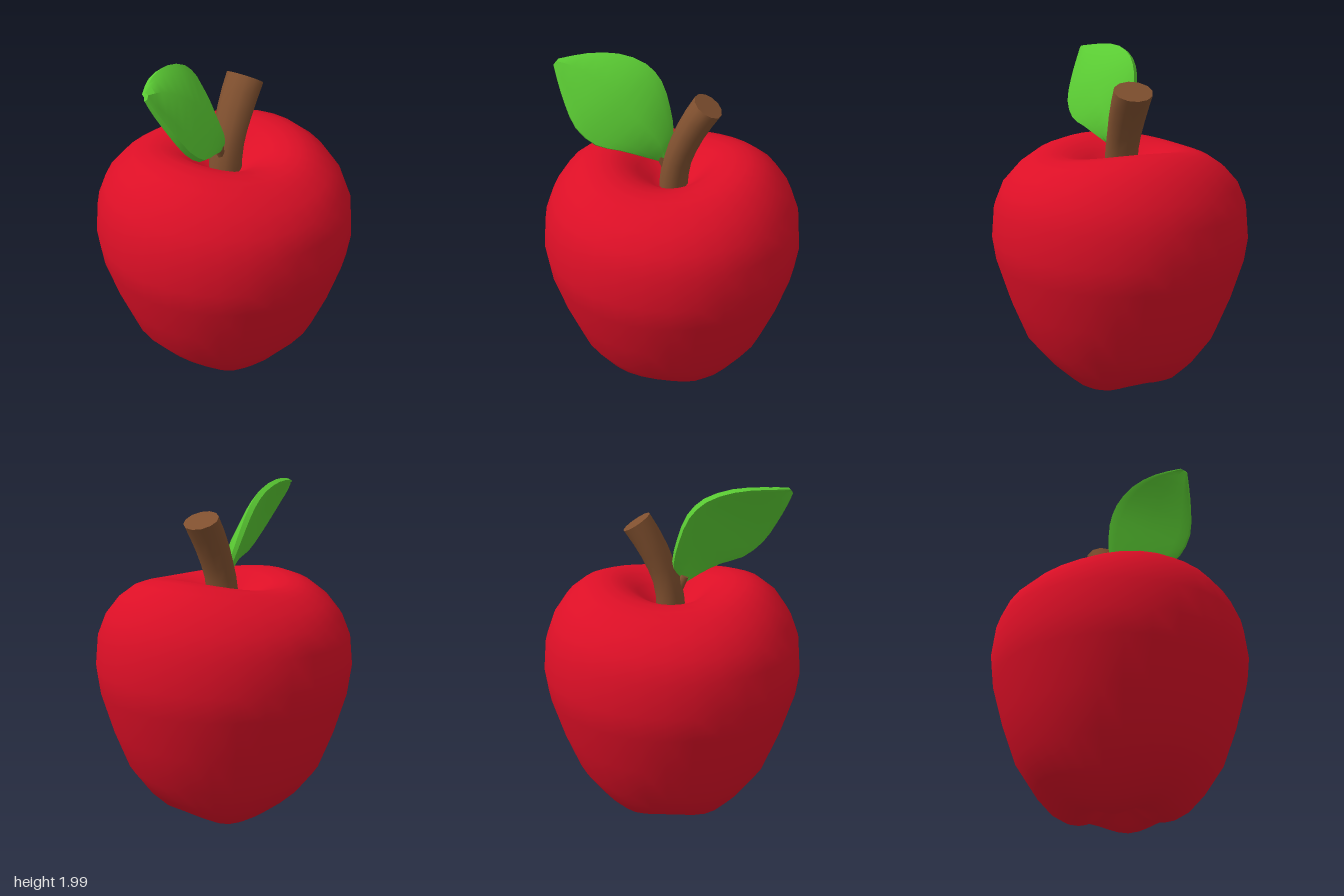
import * as THREE from 'three';
import { mergeVertices, toCreasedNormals } from 'three/addons/utils/BufferGeometryUtils.js';

const V = (x, y, z) => new THREE.Vector3(x, y, z);
const smooth = THREE.MathUtils.smoothstep;

// Skin a row of closed rings and cap both ends
function loft(rings, crease) {
  const n = rings[0].length, last = rings.length - 1;
  const points = rings.flat(), index = [];
  for (let i = 0; i < last; i++) {
    for (let j = 0; j < n; j++) {
      const k = (j + 1) % n;
      const a = i * n + j, b = i * n + k, c = a + n, d = b + n;
      index.push(a, c, b, b, c, d);
    }
  }
  for (const end of [0, last]) {
    const centre = V(0, 0, 0);
    rings[end].forEach((p) => centre.addScaledVector(p, 1 / n));
    const c = points.push(centre) - 1;
    for (let j = 0; j < n; j++) {
      const a = end * n + j, b = end * n + (j + 1) % n;
      if (end === 0) index.push(c, a, b);
      else index.push(c, b, a);
    }
  }
  const geo = new THREE.BufferGeometry().setFromPoints(points);
  geo.setIndex(index);
  return toCreasedNormals(geo, crease);
}

// Round fruit: a lathe with four lobes below and a saddle-shaped rim above
function fruitGeometry() {
  const profile = [
    [0, 0.11], [0.08, 0.085], [0.15, 0.025], [0.2, 0.002], [0.245, 0], [0.3, 0.012], [0.38, 0.058],
    [0.47, 0.155], [0.585, 0.325], [0.67, 0.55], [0.74, 0.79], [0.758, 0.93], [0.74, 1.11],
    [0.69, 1.235], [0.61, 1.335], [0.52, 1.4], [0.44, 1.427], [0.36, 1.43], [0.28, 1.41],
    [0.2, 1.365], [0.12, 1.3], [0.06, 1.265], [0, 1.255],
  ].map(([r, y]) => new THREE.Vector2(r, y));
  let geo = new THREE.LatheGeometry(profile, 32);
  const pos = geo.attributes.position;
  for (let i = 0; i < pos.count; i++) {
    const x = pos.getX(i), y = pos.getY(i), z = pos.getZ(i);
    const r = Math.hypot(x, z), angle = Math.atan2(z, x);
    const low = (1 - smooth(y, 0, 0.35)) * smooth(r, 0.06, 0.2);
    const high = smooth(y, 1.15, 1.4) * smooth(r, 0.1, 0.3);
    const lift = 0.042 * (0.5 + 0.5 * Math.cos(4 * angle)) * low;
    pos.setY(i, y + lift + 0.027 * Math.cos(2 * angle) * high);
  }
  geo.deleteAttribute('normal');
  geo.deleteAttribute('uv');
  geo = mergeVertices(geo, 1e-4);
  geo.computeVertexNormals();
  return geo;
}

// Bent rod with an oval section; radii are [in plane, along z] at each station
function rodGeometry(path, radii, sides) {
  const curve = new THREE.CatmullRomCurve3(path);
  const rings = radii.map(([a, b], i) => {
    const t = i / (radii.length - 1);
    const p = curve.getPoint(t), d = curve.getTangent(t);
    const side = V(d.y, -d.x, 0).normalize();
    return Array.from({ length: sides }, (_, j) => {
      const f = (j / sides) * Math.PI * 2;
      return p.clone().addScaledVector(side, a * Math.cos(f)).add(V(0, 0, b * Math.sin(f)));
    });
  });
  return loft(rings, 0.8);
}

// Thick leaf bent along its midrib, lofted between its two edge curves
function leafGeometry() {
  const lower = new THREE.CatmullRomCurve3([
    V(-0.07, 1.42, 0.02), V(-0.15, 1.465, 0.07), V(-0.27, 1.515, 0.12), V(-0.4, 1.55, 0.15),
    V(-0.51, 1.64, 0.145), V(-0.58, 1.76, 0.1), V(-0.63, 1.87, 0.05), V(-0.66, 1.945, 0.015),
  ]);
  const upper = new THREE.CatmullRomCurve3([
    V(-0.015, 1.45, 0), V(-0.005, 1.56, -0.06), V(-0.035, 1.7, -0.1), V(-0.09, 1.84, -0.13),
    V(-0.18, 1.93, -0.14), V(-0.33, 1.98, -0.13), V(-0.5, 1.985, -0.085), V(-0.64, 1.97, -0.015),
  ]);
  const normal = V(0.385, 0.48, 0.79).normalize();
  // Section from upper edge to lower edge: [position, front offset, back offset]
  const section = [[0, 0.012, -0.02], [0.12, 0.032, -0.025], [0.5, 0.062, -0.008], [0.88, 0.032, -0.025], [1, 0.012, -0.02]];
  const rings = [];
  for (let i = 0; i <= 14; i++) {
    const t = i / 14;
    const u = upper.getPoint(t), l = lower.getPoint(t);
    const fade = 0.35 + 0.65 * Math.sin(Math.PI * t) ** 0.6;
    const at = ([s, front, back], isFront) =>
      u.clone().lerp(l, s).addScaledVector(normal, (isFront ? front : back) * fade);
    rings.push([
      ...section.map((s) => at(s, true)),
      ...section.slice().reverse().map((s) => at(s, false)),
    ]);
  }
  return loft(rings, 0.7);
}

export function createModel() {
  const material = (name, color) => {
    const m = new THREE.MeshStandardMaterial({ color });
    m.name = name;
    return m;
  };
  const red = material('red skin', 0xdc0f26);
  const brown = material('brown bark', 0x80502f);
  const green = material('leaf green', 0x5acb33);

  const group = new THREE.Group();
  group.name = 'apple';
  const add = (name, geometry, mat) => {
    const mesh = new THREE.Mesh(geometry, mat);
    mesh.name = name;
    group.add(mesh);
  };

  add('fruit', fruitGeometry(), red);

  // Stem leaning towards +x, with a slightly rounded end
  add('stem', rodGeometry(
    [V(0.005, 1.23, 0), V(0.022, 1.4, 0), V(0.062, 1.52, 0), V(0.125, 1.655, 0), V(0.2, 1.775, 0)],
    [[0.085, 0.1], [0.082, 0.1], [0.08, 0.1], [0.08, 0.102], [0.083, 0.108], [0.086, 0.112], [0.088, 0.114]],
    12,
  ), brown);

  // Short stalk joining the leaf to the stem
  add('leafStalk', rodGeometry(
    [V(0, 1.3, 0), V(-0.03, 1.38, 0.005), V(-0.07, 1.46, 0.01)],
    [[0.03, 0.03], [0.03, 0.03], [0.025, 0.025]],
    8,
  ), brown);

  add('leaf', leafGeometry(), green);
  return group;
}
